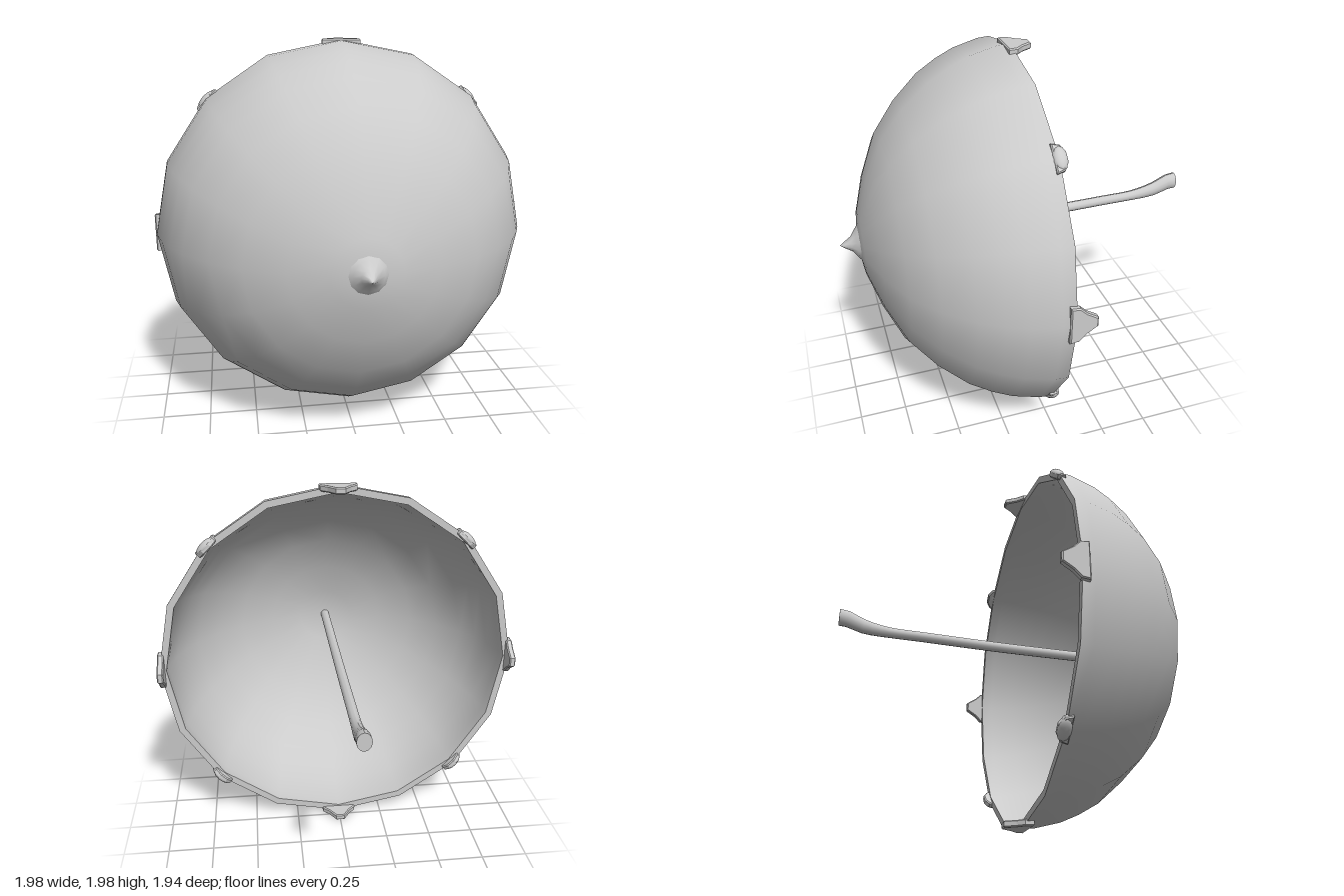
import * as THREE from 'three';
import { toCreasedNormals } from 'three/addons/utils/BufferGeometryUtils.js';

const MID = 1.005; // height of the umbrella's axis

export function createModel() {
  const group = new THREE.Group();
  const material = new THREE.MeshStandardMaterial({ color: 0xcccccc });
  const add = (name, geometry, parent = group) => {
    const mesh = new THREE.Mesh(geometry, material);
    mesh.name = name;
    parent.add(mesh);
    return mesh;
  };
  // Turned part whose axis points to the front: points are [radius, z]
  const turned = (points, sides, crease) => {
    const g = new THREE.LatheGeometry(points.map(([r, z]) => new THREE.Vector2(r, z)), sides);
    return toCreasedNormals(g.rotateX(Math.PI / 2).translate(0, MID, 0), crease);
  };

  // Canopy: sixteen-sided shell, inner wall, rim, then outer wall
  const outer = [[0.987, 0.035], [0.982, 0.1], [0.945, 0.24], [0.9, 0.34], [0.835, 0.45], [0.71, 0.59],
    [0.56, 0.71], [0.36, 0.8], [0.17, 0.86], [0, 0.885]];
  const inner = outer.map(([r, z], i) => [r * 0.962, i ? z - 0.035 * z : z]).reverse();
  add('canopy', turned([...inner, ...outer], 16, 0.7));

  // Ferrule: concave spike at the crown
  add('ferrule', turned([[0.1, 0.865], [0.075, 0.885], [0.04, 0.91], [0.018, 0.945], [0, 0.97]], 12, 0.9));

  // Rib tips: long tabs on the cardinal ribs, short knobs on the diagonals
  for (let i = 0; i < 8; i++) {
    const long = i % 2 === 0;
    const tip = new THREE.Group();
    tip.name = 'ribTip';
    tip.position.y = MID;
    tip.rotation.z = (i * Math.PI) / 4;
    group.add(tip);
    const shape = new THREE.Shape((long
      ? [[-0.1, -0.07], [0.1, -0.07], [0.095, -0.025], [0.06, 0.01], [0.025, 0.065], [-0.025, 0.065], [-0.06, 0.01], [-0.095, -0.025]]
      : [[-0.07, -0.06], [0.07, -0.06], [0.06, -0.02], [0.025, 0.002], [-0.025, 0.002], [-0.06, -0.02]]
    ).map(([x, y]) => new THREE.Vector2(x, y)));
    const tab = new THREE.ExtrudeGeometry(shape, {
      depth: 0.022, bevelSize: 0.006, bevelOffset: -0.006, bevelThickness: 0.006, bevelSegments: 1,
    });
    tab.rotateX(-Math.PI / 2).translate(0, long ? 0.963 : 0.96, 0);
    add('ribTab', tab, tip);
    if (!long) {
      const knob = new THREE.SphereGeometry(1, 10, 8).scale(0.06, 0.025, 0.035);
      add('ribKnob', knob.translate(0, 0.977, 0.03), tip);
    }
  }

  // Shaft and handle: one tube that bends up and flares at its end
  const path = new THREE.CatmullRomCurve3([
    [0, MID, 0.87], [0, MID, 0.4], [0, MID, -0.1], [0, 1.012, -0.5], [0, 1.017, -0.72],
    [0, 1.035, -0.84], [0, 1.066, -0.92], [0, 1.071, -0.966],
  ].map((p) => new THREE.Vector3(...p)));
  const rings = 40, sides = 12;
  const tube = new THREE.TubeGeometry(path, rings, 0.027, sides);
  const pos = tube.attributes.position;
  const v = new THREE.Vector3();
  for (let i = 0; i <= rings; i++) {
    const centre = path.getPointAt(i / rings);
    const flare = THREE.MathUtils.smoothstep(-centre.z, 0.65, 0.966);
    for (let j = 0; j <= sides; j++) {
      const k = i * (sides + 1) + j;
      v.fromBufferAttribute(pos, k).sub(centre);
      v.x *= 1 + 0.35 * flare;
      v.y *= 1 + 0.75 * flare;
      v.add(centre);
      if (i === rings) v.z = -0.966;
      pos.setXYZ(k, v.x, v.y, v.z);
    }
  }
  tube.computeVertexNormals();
  add('shaft', tube);

  // Flat end of the handle
  const cap = new THREE.CircleGeometry(1, sides).scale(0.0365, 0.047, 1);
  add('handleEnd', cap.rotateY(Math.PI).translate(0, 1.071, -0.966));

  return group;
}
